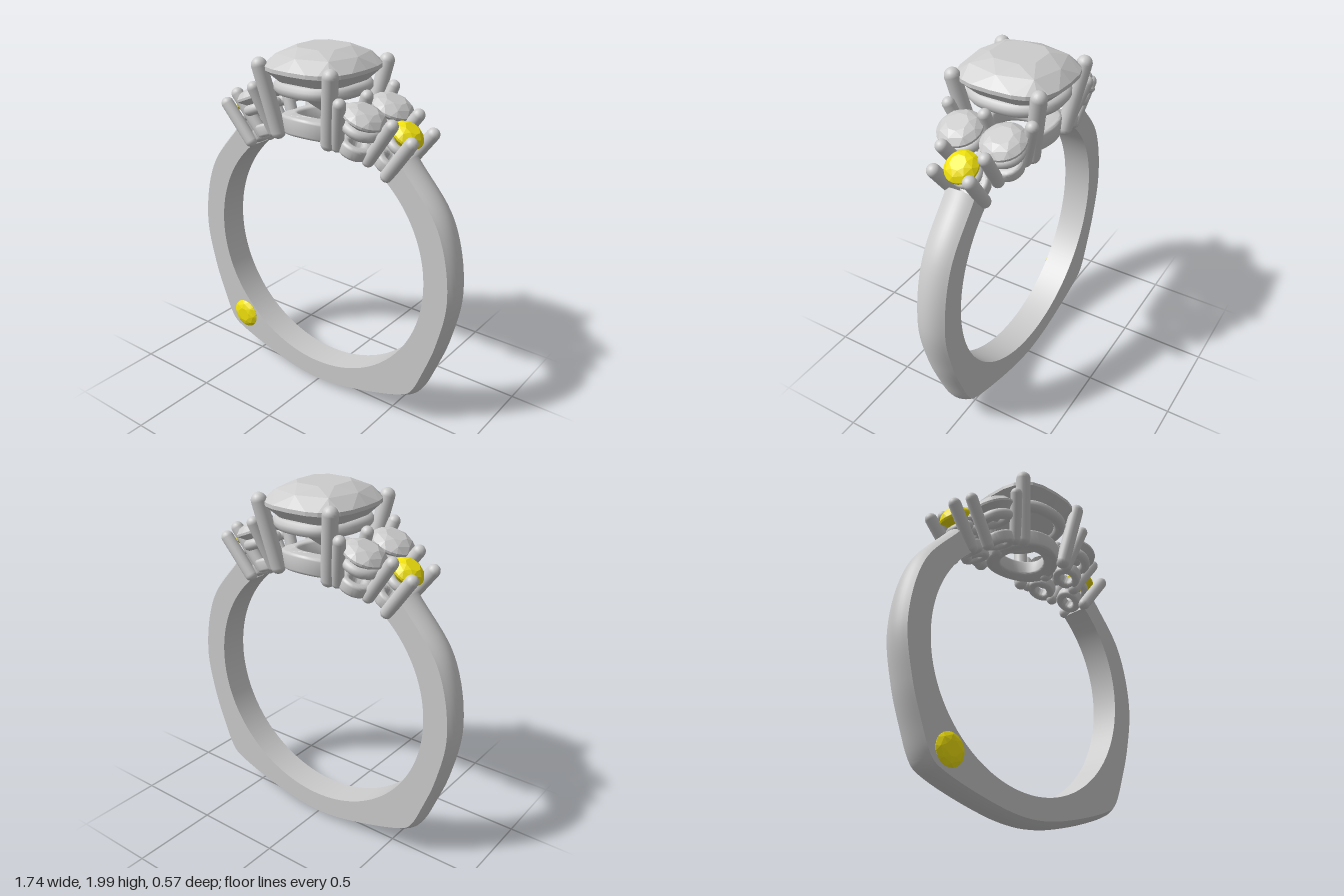
import * as THREE from 'three';
import { toCreasedNormals } from 'three/addons/utils/BufferGeometryUtils.js';
import { ConvexGeometry } from 'three/addons/geometries/ConvexGeometry.js';

const CY = 0.86;      // height of the finger hole's centre
const INNER = 0.70;   // finger hole radius
const grey = new THREE.MeshStandardMaterial({ color: 0xcccccc });
const yellow = new THREE.MeshStandardMaterial({ color: 0xf2e30c });

function add(parent, name, geometry, material = grey) {
  const mesh = new THREE.Mesh(geometry, material);
  mesh.name = name;
  parent.add(mesh);
  return mesh;
}

// Point on a superellipse; power 2 is an ellipse, larger is more cushion-like
function superPoint(t, rx, rz, power) {
  const c = Math.cos(t), s = Math.sin(t), e = 2 / power;
  return [rx * Math.sign(c) * Math.abs(c) ** e, rz * Math.sign(s) * Math.abs(s) ** e];
}

// Faceted gem with its girdle at y = 0
function gemGeometry(rx, rz, crown, pavilion, power = 2, girdle = 0.012) {
  const pts = [new THREE.Vector3(0, -pavilion, 0)];
  const ring = (n, scale, y, turn) => {
    for (let i = 0; i < n; i++) {
      const [x, z] = superPoint((i + turn) / n * Math.PI * 2, rx * scale, rz * scale, power);
      pts.push(new THREE.Vector3(x, y, z));
    }
  };
  ring(8, 0.48, crown, 0.5);
  ring(8, 0.80, crown * 0.62, 0);
  ring(24, 1, 0, 0);
  ring(24, 1, -girdle, 0);
  ring(8, 0.55, -girdle - (pavilion - girdle) * 0.5, 0.5);
  return new ConvexGeometry(pts);
}

// Round-ended claw between two points
function prong(parent, name, top, bottom, radius) {
  const a = new THREE.Vector3(...bottom), b = new THREE.Vector3(...top);
  const dir = b.clone().sub(a);
  const mesh = add(parent, name, new THREE.CapsuleGeometry(radius, dir.length(), 6, 16));
  mesh.position.copy(a).add(b).multiplyScalar(0.5);
  mesh.quaternion.setFromUnitVectors(new THREE.Vector3(0, 1, 0), dir.normalize());
}

// Pierced plate wrapped around the finger hole, in local coordinates about its centre
function basePlate(rx, rz, hole, height) {
  const shape = new THREE.Shape().absellipse(0, 0, rx - 0.015, rz - 0.015, 0, Math.PI * 2);
  shape.holes.push(new THREE.Path().absellipse(0, 0, hole + 0.015, hole + 0.015, 0, Math.PI * 2));
  const geo = new THREE.ExtrudeGeometry(shape, {
    depth: height - 0.03, curveSegments: 24, bevelEnabled: true,
    bevelSize: 0.015, bevelThickness: 0.015, bevelSegments: 3,
  });
  const p = geo.attributes.position;
  for (let i = 0; i < p.count; i++) {
    const a = p.getX(i) / INNER, r = INNER + 0.015 + p.getZ(i);
    p.setXYZ(i, r * Math.sin(a), r * Math.cos(a), -p.getY(i));
  }
  return toCreasedNormals(geo, 0.7);
}

// Shank: domed section swept along an outline with two lower corners
function shankGeometry() {
  const half = [[50, 0.862], [25, 0.868], [0, 0.868], [-20, 0.872], [-34, 0.902], [-42, 0.936],
    [-46, 0.944], [-50, 0.928], [-57, 0.896], [-69, 0.861], [-80, 0.851]];
  const all = [...half, [-90, 0.85], ...half.slice().reverse().map(([a, r]) => [-180 - a, r])];
  const outline = new THREE.CatmullRomCurve3(all.map(([a, r]) => {
    const t = a * Math.PI / 180;
    return new THREE.Vector3(r * Math.cos(t), r * Math.sin(t), 0);
  }), false, 'centripetal').getPoints(176);

  const W = 0.083, SAG = 0.03, D = 10, pos = [], idx = [];
  for (const o of outline) {
    const R = o.length(), ux = o.x / R, uy = o.y / R;
    const section = [[INNER, W]];
    for (let k = 0; k <= D; k++) {
      const s = 1 - 2 * k / D;
      section.push([R - SAG * s * s, W * s]);
    }
    section.push([INNER, -W]);
    for (const [r, z] of section) pos.push(r * ux, CY + r * uy, z);
  }
  const n = D + 3, last = (outline.length - 1) * n;
  for (let i = 0; i < outline.length - 1; i++) {
    for (let j = 0; j < n; j++) {
      const a = i * n + j, b = i * n + (j + 1) % n, c = b + n, d = a + n;
      idx.push(a, d, c, a, c, b);
    }
  }
  for (let k = 1; k < n - 1; k++) idx.push(0, k, k + 1, last, last + k + 1, last + k);
  const geo = new THREE.BufferGeometry();
  geo.setAttribute('position', new THREE.Float32BufferAttribute(pos, 3));
  geo.setIndex(idx);
  return toCreasedNormals(geo, 0.5);
}

// Group whose local y axis points outward from the finger hole at an angle from vertical
function station(parent, name, angle) {
  const g = new THREE.Group();
  g.name = name;
  g.position.y = CY;
  g.rotation.z = -angle;
  parent.add(g);
  return g;
}

// Round stone with its support ring and pierced base
function roundSetting(parent, name, angle, z, o) {
  const g = station(parent, name, angle);
  const gem = add(g, name + 'Gem', gemGeometry(o.gem, o.gem, 0.042, 0.09), o.material);
  gem.position.set(0, o.height, z);
  const rail = add(g, name + 'Rail', new THREE.TorusGeometry(o.rail, o.tube, 10, 32));
  rail.rotation.x = Math.PI / 2;
  rail.position.set(0, 0.855, z * 0.95);
  const base = add(g, name + 'Base', basePlate(o.base, o.base, o.hole, 0.07));
  base.position.z = z * 0.85;
}

export function createModel() {
  const ring = new THREE.Group();
  ring.name = 'ring';
  add(ring, 'shank', shankGeometry());

  // Centre stone and its basket
  const centre = new THREE.Group();
  centre.name = 'centreSetting';
  ring.add(centre);
  add(centre, 'centreGem', gemGeometry(0.265, 0.285, 0.09, 0.26, 2.9, 0.02)).position.y = 1.91;
  const railPts = Array.from({ length: 32 }, (_, i) => {
    const [x, z] = superPoint(i / 32 * Math.PI * 2, 0.2, 0.22, 2.5);
    return new THREE.Vector3(x, 1.8, z);
  });
  add(centre, 'centreRail', new THREE.TubeGeometry(
    new THREE.CatmullRomCurve3(railPts, true), 80, 0.036, 10, true));
  add(centre, 'centreBase', basePlate(0.21, 0.21, 0.125, 0.1)).position.y = CY;

  for (const s of [1, -1]) {
    for (const f of [1, -1]) {
      prong(centre, 'centreProng', [s * 0.225, 1.91, f * 0.24], [s * 0.165, 1.56, f * 0.175], 0.041);
    }
  }

  // Shoulders: two grey stones and one yellow stone on each side
  for (const s of [1, -1]) {
    const shoulder = new THREE.Group();
    shoulder.name = s > 0 ? 'leftShoulder' : 'rightShoulder';
    ring.add(shoulder);
    for (const f of [1, -1]) {
      roundSetting(shoulder, 'side', s * 0.385, f * 0.123,
        { gem: 0.117, height: 0.925, rail: 0.075, tube: 0.03, base: 0.08, hole: 0.035, material: grey });
      prong(shoulder, 'outerProng', [s * 0.6, 1.62, f * 0.1], [s * 0.455, 1.425, f * 0.078], 0.035);
      prong(shoulder, 'middleProng', [s * 0.5, 1.695, f * 0.12], [s * 0.35, 1.485, f * 0.09], 0.034);
      prong(shoulder, 'sideProng', [s * 0.275, 1.785, f * 0.235], [s * 0.21, 1.55, f * 0.16], 0.033);
    }
    prong(shoulder, 'innerProng', [s * 0.285, 1.785, s * 0.02], [s * 0.2, 1.55, 0], 0.033);
    roundSetting(shoulder, 'accent', s * 0.593, 0,
      { gem: 0.088, height: 0.93, rail: 0.055, tube: 0.025, base: 0.075, hole: 0.03, material: yellow });
  }

  // Small stone set into the front face of the shank
  const faceGem = add(ring, 'faceGem', gemGeometry(0.087, 0.087, 0.022, 0.06), yellow);
  faceGem.rotation.x = Math.PI / 2;
  faceGem.position.set(-0.55, 0.28, 0.085);

  return ring;
}
